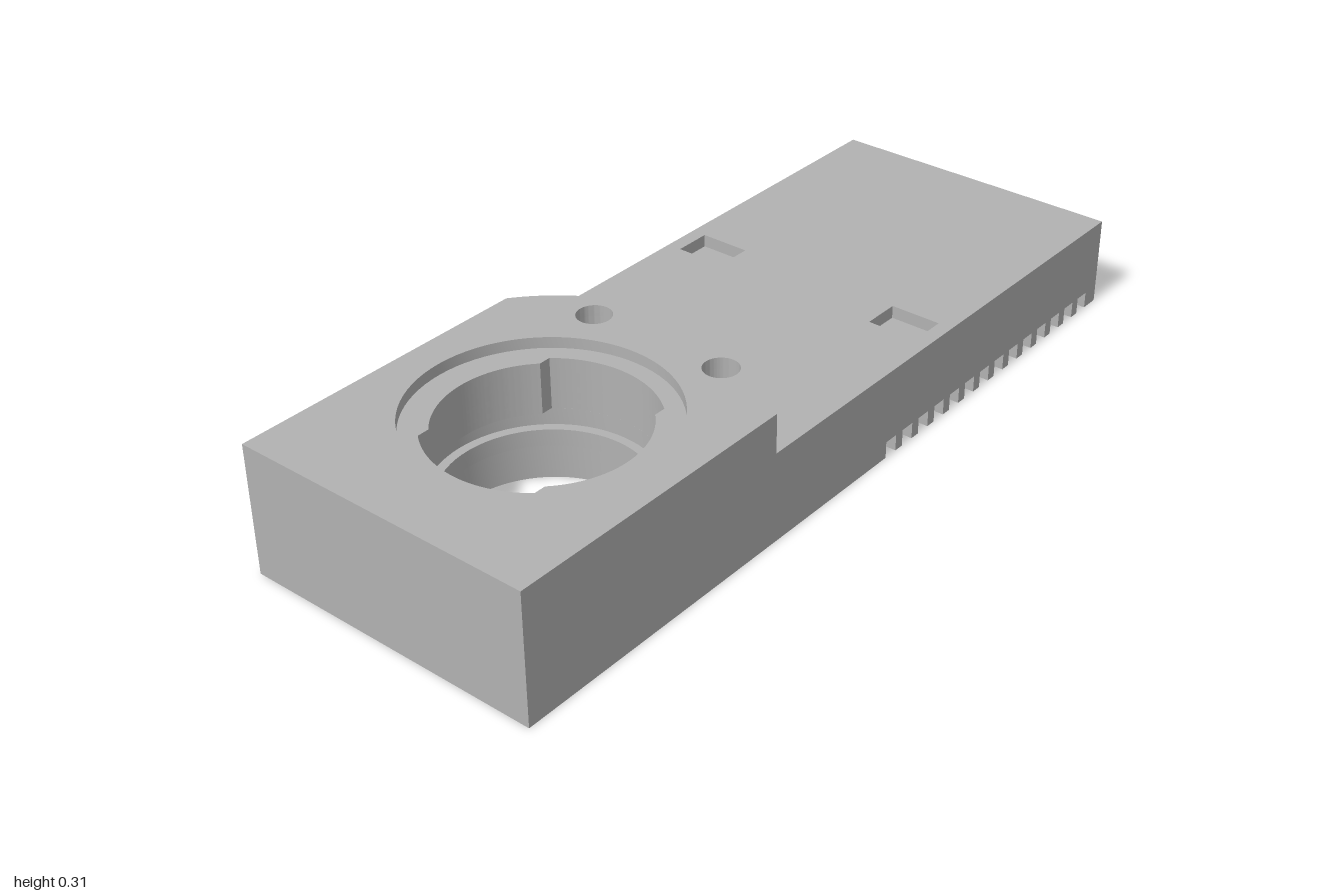
import * as THREE from 'three';
import { toCreasedNormals } from 'three/addons/utils/BufferGeometryUtils.js';

const W = 0.365, L = 1, WALL = 0.062;     // half width, half length, wall thickness
const CZ = 0.556;                         // z of the round socket
const R_BORE = 0.222, R_GROOVE = 0.243, R_RECESS = 0.284, R_STEP = 0.46;
const CEILING = 0.08, DECK = 0.215, TOP = 0.308;

const polygon = (pts) => new THREE.Shape(pts.map(([x, y]) => new THREE.Vector2(x, y)));

const rect = (x0, z0, x1, z1) => polygon([[x0, z0], [x1, z0], [x1, z1], [x0, z1]]);

const circle = (x, z, r) => new THREE.Shape().absarc(x, z, r, 0, Math.PI * 2, false);

// Bore outline with a wide key slot at the front and at the back
function keyedBore() {
  const slot = 0.155, p = Math.PI;
  const a = Math.acos(slot / R_BORE), b = Math.acos(slot / R_GROOVE);
  const path = new THREE.Path();
  path.absarc(0, CZ, R_BORE, -a, a, false);
  path.absarc(0, CZ, R_GROOVE, b, p - b, false);
  path.absarc(0, CZ, R_BORE, p - a, p + a, false);
  path.absarc(0, CZ, R_GROOVE, p + b, 2 * p - b, false);
  path.closePath();
  return path;
}

// Raised platform outline: square at the front, arched towards the back
function platformOutline() {
  const a = Math.acos(W / R_STEP);
  const s = new THREE.Shape();
  s.moveTo(W, L);
  s.lineTo(-W, L);
  s.absarc(0, CZ, R_STEP, Math.PI + a, 2 * Math.PI - a, false);
  s.closePath();
  return s;
}

export function createModel() {
  const model = new THREE.Group();
  model.name = 'socketHousing';
  const grey = new THREE.MeshStandardMaterial({ color: 0xb2b2b2 });
  grey.name = 'plain grey';

  const add = (name, geometry) => {
    const mesh = new THREE.Mesh(toCreasedNormals(geometry, 0.5), grey);
    mesh.name = name;
    model.add(mesh);
  };
  const extrude = (shape, depth) =>
    new THREE.ExtrudeGeometry(shape, { depth, bevelEnabled: false, curveSegments: 40 });

  // Horizontal slab from y0 to y1, outline drawn in x and z
  const slab = (name, outline, holes, y0, y1) => {
    outline.holes.push(...holes);
    add(name, extrude(outline, y1 - y0).rotateX(Math.PI / 2).translate(0, y1, 0));
  };
  const plate = () => rect(-W, -L, W, L);
  const pinHoles = () => [-1, 1].map((s) => circle(s * 0.172, 0.21, 0.04));
  const pockets = () => [rect(-0.33, -0.352, -0.208, -0.262), rect(0.208, -0.352, 0.33, -0.262)];

  // Skirt around the hollow underside: three plain walls
  const xi = W - WALL, zi = L - WALL;
  slab('skirtWalls', polygon([
    [xi, -L], [xi, -zi], [-xi, -zi], [-xi, zi], [xi, zi], [xi, L], [-W, L], [-W, -L],
  ]), [], 0, CEILING);

  // Left wall with a row of vent notches along its bottom edge
  const profile = [[-L, CEILING], [-L, 0]];
  for (let i = 13; i >= 0; i--) {
    const z1 = -0.115 - i * 0.0617, z0 = z1 - 0.037;
    profile.push([z0, 0], [z0, 0.04], [z1, 0.04], [z1, 0]);
  }
  profile.push([L, 0], [L, CEILING]);
  add('ventedWall', extrude(polygon(profile), WALL).rotateY(-Math.PI / 2).translate(W, 0, 0));

  // Collar hanging below the socket
  slab('socketCollar', circle(0, CZ, 0.288), [circle(0, CZ, R_BORE)], 0, CEILING);

  // Main plate, layered around the bore, locking groove and key slots
  slab('basePlate', plate(), [circle(0, CZ, R_BORE)], CEILING, 0.12);
  slab('groovePlate', plate(), [circle(0, CZ, R_GROOVE)], 0.12, 0.16);
  slab('keyedPlate', plate(), [keyedBore()], 0.16, 0.185);
  slab('deckPlate', plate(), [keyedBore(), ...pockets()], 0.185, DECK);

  // Raised platform with pin holes and a shallow round recess
  slab('platform', platformOutline(), [keyedBore(), ...pinHoles()], DECK, 0.282);
  slab('platformTop', platformOutline(), [circle(0, CZ, R_RECESS), ...pinHoles()], 0.282, TOP);

  return model;
}
